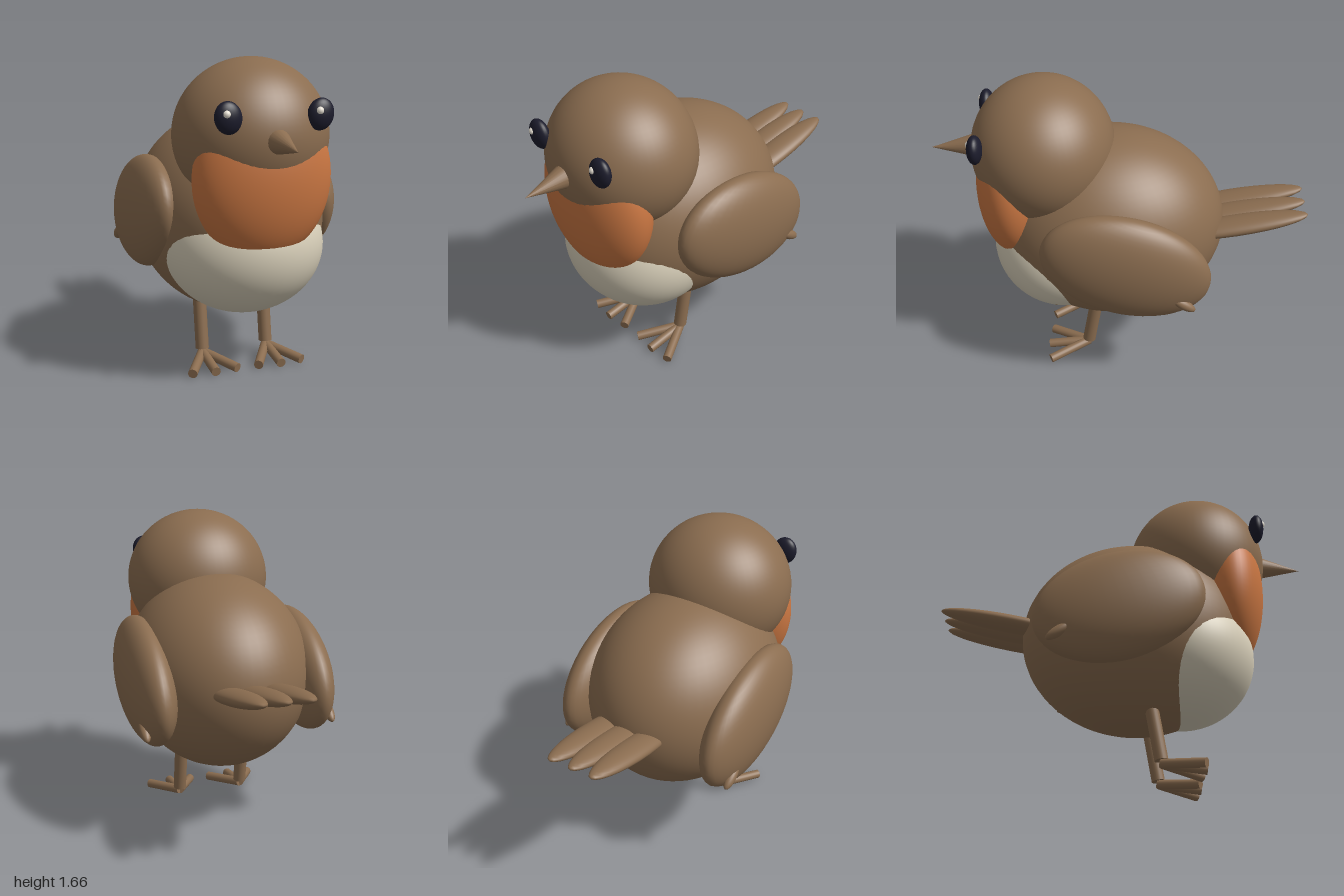
import * as THREE from 'three';

const material = (name, color) => {
  const m = new THREE.MeshStandardMaterial({ color });
  m.name = name;
  return m;
};

export function createModel() {
  const brown = material('brown', 0x8b6d50);
  const orange = material('orange', 0xc97642);
  const cream = material('cream', 0xd8cfb9);
  const dark = material('darkEye', 0x1c1c2c);
  const white = material('eyeGlint', 0xf0e9dc);

  const bird = new THREE.Group();
  bird.name = 'bird';

  const add = (name, geometry, mat) => {
    const mesh = new THREE.Mesh(geometry, mat);
    mesh.name = name;
    bird.add(mesh);
    return mesh;
  };

  // Stretched sphere: centre, radii, rotation
  const ellipsoid = (name, mat, pos, radii, rot = [0, 0, 0], detail = 40) => {
    const mesh = add(name, new THREE.SphereGeometry(1, detail, Math.round(detail * 0.7)), mat);
    mesh.position.set(...pos);
    mesh.scale.set(...radii);
    mesh.rotation.set(...rot);
    return mesh;
  };

  // Straight cylinder or cone between two points
  const rod = (name, mat, from, to, r0, r1 = r0) => {
    const a = new THREE.Vector3(...from);
    const b = new THREE.Vector3(...to);
    const dir = b.clone().sub(a);
    const mesh = add(name, new THREE.CylinderGeometry(r1, r0, dir.length(), 20), mat);
    mesh.position.copy(a).add(b).multiplyScalar(0.5);
    mesh.quaternion.setFromUnitVectors(new THREE.Vector3(0, 1, 0), dir.normalize());
    return mesh;
  };

  // Body, head and the coloured front
  ellipsoid('body', brown, [0, 0.82, 0.06], [0.5, 0.535, 0.62], [0, 0, 0], 56);
  ellipsoid('head', brown, [0, 1.275, 0.41], [0.4, 0.388, 0.38], [0, 0, 0], 56);
  ellipsoid('belly', cream, [0, 0.69, 0.31], [0.425, 0.365, 0.395], [0, 0, 0], 56);
  ellipsoid('breast', orange, [0, 1.08, 0.575], [0.36, 0.42, 0.2], [0, 0, 0], 56);

  // Beak
  rod('beak', brown, [0, 1.286, 0.755], [0, 1.268, 1.0], 0.066, 0);

  // Tail feathers
  for (const x of [-0.122, 0, 0.122]) {
    ellipsoid('tailFeather', brown, [x, 0.865, -0.62], [0.082, 0.042, 0.388], [0.2, 0, 0], 28);
  }

  for (const s of [-1, 1]) {
    const side = s > 0 ? 'left' : 'right';

    // Eye with a glint
    ellipsoid(side + 'Eye', dark, [s * 0.235, 1.402, 0.73], [0.068, 0.079, 0.04], [0, 0, -s * 0.2], 28);
    ellipsoid(side + 'EyeGlint', white, [s * 0.235 - 0.017, 1.422, 0.757], [0.02, 0.02, 0.02], [0, 0, 0], 16);

    // Wing with a small feather tip
    ellipsoid(side + 'Wing', brown, [s * 0.435, 0.822, -0.03], [0.14, 0.3, 0.456], [-0.3, 0, 0]);
    ellipsoid(side + 'WingTip', brown, [s * 0.512, 0.64, -0.33], [0.028, 0.028, 0.078], [-0.6, 0, 0], 20);

    // Leg and three splayed toes
    const x = s * 0.185;
    rod(side + 'Leg', brown, [x, 0.345, 0.14], [x, 0.078, 0.184], 0.036);
    for (const spread of [-1, 0, 1]) {
      rod(side + 'Toe', brown, [x, 0.06, 0.185], [x + spread * 0.125, 0.028, 0.415 - Math.abs(spread) * 0.015], 0.025);
    }
  }

  return bird;
}
